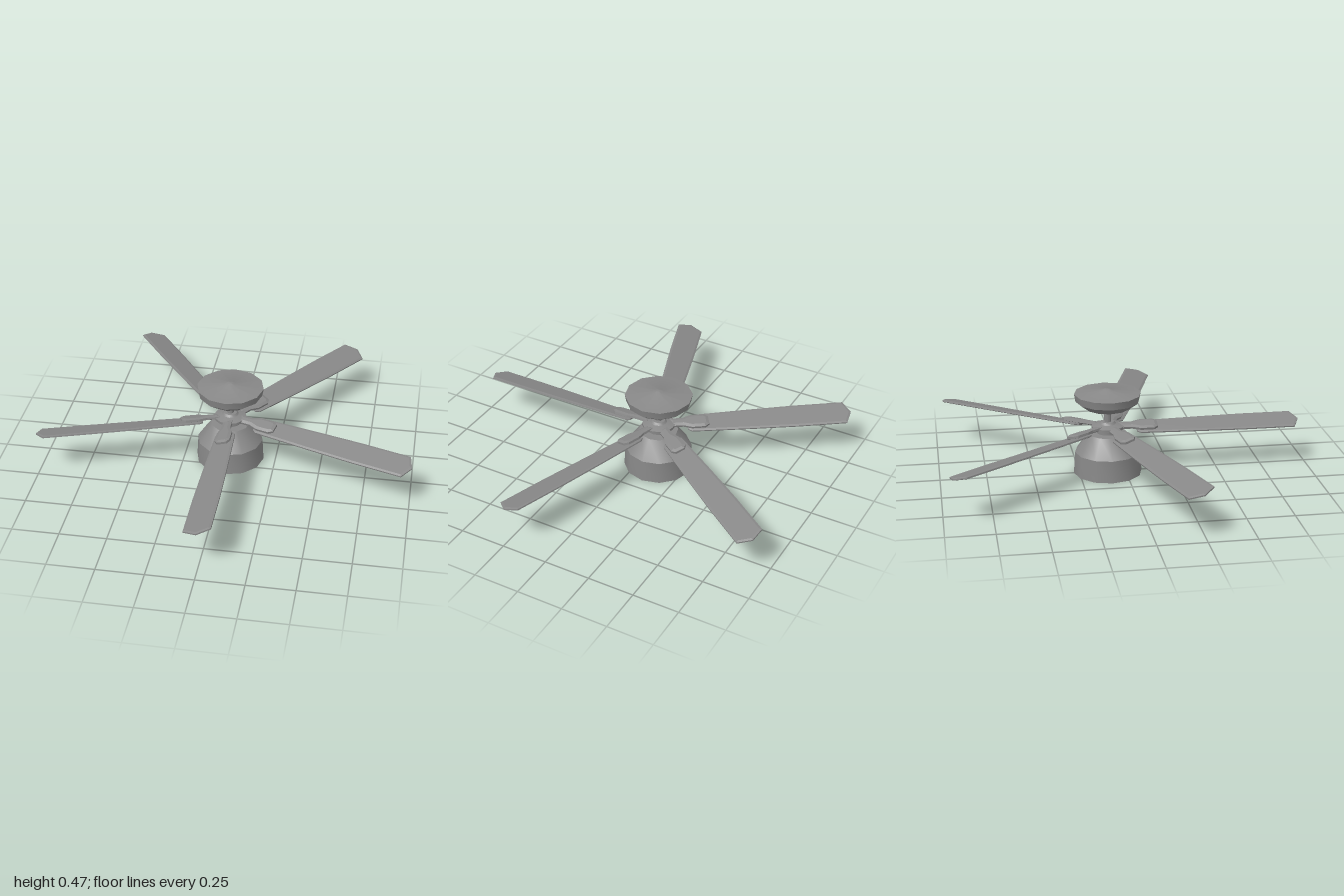
import * as THREE from 'three';
import { toCreasedNormals } from 'three/addons/utils/BufferGeometryUtils.js';

const material = new THREE.MeshStandardMaterial({ color: 0x888888, side: THREE.DoubleSide });

const HUB_Z = -0.095;
const BLADES = 5;
const PITCH = THREE.MathUtils.degToRad(15);

function addMesh(parent, name, geometry, creaseAngle) {
  const mesh = new THREE.Mesh(toCreasedNormals(geometry, creaseAngle), material);
  mesh.name = name;
  parent.add(mesh);
  return mesh;
}

// Twelve-sided turned part from [radius, height] pairs, bottom to top
function turned(parent, name, profile) {
  const points = profile.map(([r, y]) => new THREE.Vector2(r, y));
  return addMesh(parent, name, new THREE.LatheGeometry(points, 12), 0.53);
}

// Flat bevelled plate, mirrored in x, from [halfWidth, distance] pairs along +z
function plate(parent, name, outline, thickness, bevel) {
  const right = outline.map(([w, d]) => new THREE.Vector2(w, d));
  const left = outline.filter(([w]) => w > 0).map(([w, d]) => new THREE.Vector2(-w, d)).reverse();
  const geometry = new THREE.ExtrudeGeometry(new THREE.Shape([...right, ...left]), {
    depth: thickness / 2,
    bevelEnabled: true,
    bevelThickness: thickness / 4,
    bevelSize: bevel,
    bevelOffset: -bevel,
    bevelSegments: 1,
  });
  geometry.translate(0, 0, -thickness / 4);
  geometry.rotateX(Math.PI / 2);
  return addMesh(parent, name, geometry, 0.2);
}

export function createModel() {
  const fan = new THREE.Group();
  fan.name = 'ceilingFan';
  const body = new THREE.Group();
  body.name = 'body';
  body.position.z = HUB_Z;
  fan.add(body);

  // Motor housing, open underneath, with a straight conical shoulder
  turned(body, 'motorHousing', [
    [0.185, 0], [0.178, 0.12], [0.105, 0.222], [0, 0.226],
  ]);

  // Rotating hub that carries the blades
  turned(body, 'hub', [
    [0.06, 0.225], [0.06, 0.245], [0.088, 0.25], [0.088, 0.264], [0.045, 0.275], [0.035, 0.286], [0, 0.286],
  ]);

  // Hanging rod with a small collar at the top
  turned(body, 'rod', [
    [0.018, 0.28], [0.018, 0.34], [0.028, 0.352], [0.028, 0.37],
  ]);

  // Ceiling canopy: flared bowl, shallow cone on top and a small button
  turned(body, 'canopy', [
    [0, 0.366], [0.12, 0.366], [0.172, 0.405], [0.18, 0.446], [0.028, 0.463], [0.016, 0.469], [0, 0.47],
  ]);

  // Five pitched blades, each with its bracket
  for (let i = 0; i < BLADES; i++) {
    const arm = new THREE.Group();
    arm.name = 'bladeArm' + (i + 1);
    arm.position.y = 0.245;
    arm.rotation.y = (i * 2 * Math.PI) / BLADES;
    body.add(arm);

    const pitched = new THREE.Group();
    pitched.name = 'pitchedBlade';
    pitched.rotation.z = PITCH;
    arm.add(pitched);

    plate(pitched, 'blade', [
      [0.04, 0.155], [0.055, 0.175], [0.066, 0.5], [0.072, 0.75], [0.072, 1.018], [0, 1.052],
    ], 0.014, 0.011);

    const bracket = plate(pitched, 'bracket', [
      [0.026, 0.06], [0.026, 0.13], [0.042, 0.175], [0.042, 0.248], [0.026, 0.27],
    ], 0.024, 0.016);
    bracket.position.y = 0.014;
  }

  return fan;
}
